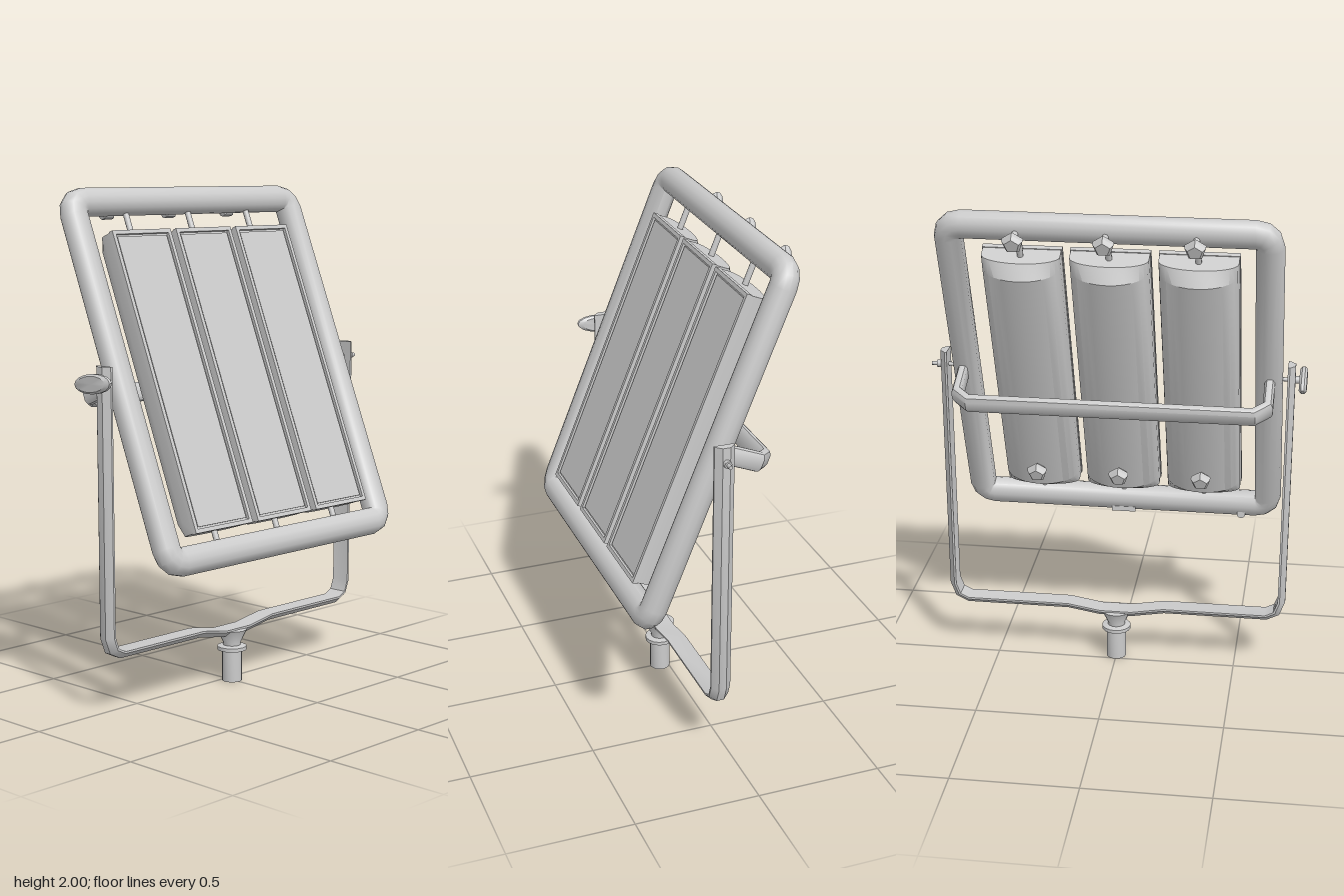
import * as THREE from 'three';
import { toCreasedNormals } from 'three/addons/utils/BufferGeometryUtils.js';

const material = new THREE.MeshStandardMaterial({ color: 0xcccccc, side: THREE.DoubleSide });

function add(parent, name, geometry, x = 0, y = 0, z = 0) {
  const mesh = new THREE.Mesh(geometry, material);
  mesh.name = name;
  mesh.position.set(x, y, z);
  parent.add(mesh);
  return mesh;
}

// Skin over equal-sized rings of [x, y, z]; either closed into a loop or capped
function loft(rings, loop = false, crease = 0.7) {
  const n = rings[0].length, m = rings.length;
  const pos = rings.flat(2), index = [];
  for (let i = 0; i < (loop ? m : m - 1); i++) {
    for (let j = 0; j < n; j++) {
      const a = i * n + j, b = i * n + (j + 1) % n;
      const c = ((i + 1) % m) * n + j, d = ((i + 1) % m) * n + (j + 1) % n;
      index.push(a, b, d, a, d, c);
    }
  }
  if (!loop) {
    const e = (m - 1) * n;
    for (let j = 1; j < n - 1; j++) index.push(0, j + 1, j, e, e + j, e + j + 1);
  }
  // turn the faces outward when the enclosed volume comes out negative
  let volume = 0;
  const p = (k) => new THREE.Vector3().fromArray(pos, index[k] * 3);
  for (let k = 0; k < index.length; k += 3) volume += p(k).dot(p(k + 1).cross(p(k + 2)));
  if (volume < 0) index.reverse();
  const g = new THREE.BufferGeometry();
  g.setAttribute('position', new THREE.Float32BufferAttribute(pos, 3));
  g.setIndex(index);
  return toCreasedNormals(g, crease);
}

// Ring of a section [out, side] at (x, y), offset along the direction (nx, ny)
const ringAt = (x, y, nx, ny, section) => section.map(([a, b]) => [x + nx * a, y + ny * a, b]);

// Mitred sweep along an open polyline in the XY plane
function sweep(path, section) {
  const pts = path.map(([x, y]) => new THREE.Vector2(x, y));
  const normal = (i) => {
    const d = pts[i + 1].clone().sub(pts[i]).normalize();
    return new THREE.Vector2(-d.y, d.x);
  };
  return loft(pts.map((p, i) => {
    const a = normal(Math.max(i - 1, 0)), b = normal(Math.min(i, pts.length - 2));
    const m = a.clone().add(b).normalize();
    m.divideScalar(m.dot(a));
    return ringAt(p.x, p.y, m.x, m.y, section);
  }));
}

const mirrorPath = (half) => [...half, ...half.slice().reverse().map(([x, y]) => [-x, y])];

const rectangle = (Type, w, h) => new Type([[-w, -h], [w, -h], [w, h], [-w, h]].map(([x, y]) => new THREE.Vector2(x, y)));

// Lamp body with a half-barrel back and chamfered ends
function lampBody() {
  return loft([[-0.625, 0.04], [-0.57, 0.095], [0.52, 0.095], [0.572, 0.05]].map(([u, depth]) => {
    const ring = [[0.152, u, 0.05], [-0.152, u, 0.05]];
    for (let k = 0; k <= 14; k++) {
      const t = (k / 14) * Math.PI;
      ring.push([-0.152 * Math.cos(t), u, -depth * Math.sin(t)]);
    }
    return ring;
  }), false, 0.5);
}

// Screw knob pointing backward: stem and five-sided head
function knob(parent, name, x, y, z, r) {
  const g = new THREE.Group();
  g.name = name;
  g.position.set(x, y, z);
  g.rotation.x = -Math.PI / 2;
  add(g, 'knobStem', new THREE.CylinderGeometry(0.013, 0.013, 0.06, 8), 0, 0.01, 0);
  const profile = [[0, 0.03], [r * 0.65, 0.03], [r, 0.045], [r, 0.062], [r * 0.7, 0.078], [0, 0.078]];
  add(g, 'knobHead', toCreasedNormals(
    new THREE.LatheGeometry(profile.map(([a, b]) => new THREE.Vector2(a, b)), 5), 0.3));
  parent.add(g);
}

export function createModel() {
  const model = new THREE.Group();
  model.name = 'studioLamp';

  // Tilting head
  const head = new THREE.Group();
  head.name = 'head';
  head.position.set(0, 1.283, 0.033);
  head.rotation.x = -THREE.MathUtils.degToRad(22);
  model.add(head);

  // Outer frame: sharp inner rectangle, rounded outside
  const frameSection = [[0, -0.02], [0, 0.02], [0.012, 0.037], [0.035, 0.049], [0.06, 0.05], [0.085, 0.042],
    [0.102, 0.023], [0.108, 0], [0.102, -0.023], [0.085, -0.042], [0.06, -0.05], [0.035, -0.049], [0.012, -0.037]];
  const frameRings = [];
  for (let c = 0; c < 4; c++) {
    const mid = (c + 0.5) * Math.PI / 2;
    const x = 0.556 * Math.sign(Math.cos(mid)), y = 0.662 * Math.sign(Math.sin(mid));
    for (let k = 0; k <= 3; k++) {
      const t = (c + k / 3) * Math.PI / 2;
      frameRings.push(ringAt(x, y, Math.cos(t), Math.sin(t), frameSection));
    }
  }
  add(head, 'outerFrame', loft(frameRings, true));

  // Three lamp units with bezel, front pane, mounting rods and knobs
  const bezelShape = rectangle(THREE.Shape, 0.155, 0.602);
  bezelShape.holes.push(rectangle(THREE.Path, 0.139, 0.586));
  const bezel = new THREE.ExtrudeGeometry(bezelShape, { depth: 0.02, bevelEnabled: false });
  for (const x of [-0.34, 0, 0.34]) {
    const lamp = new THREE.Group();
    lamp.name = 'lampUnit';
    lamp.position.x = x;
    head.add(lamp);
    add(lamp, 'lampBody', lampBody());
    add(lamp, 'bezel', bezel, 0, -0.027, 0.042);
    add(lamp, 'frontPane', new THREE.BoxGeometry(0.262, 1.156, 0.012), 0, -0.027, 0.05);
    add(lamp, 'topRod', new THREE.CylinderGeometry(0.012, 0.012, 0.13, 10), 0, 0.62, 0);
    add(lamp, 'bottomRod', new THREE.CylinderGeometry(0.012, 0.012, 0.08, 10), 0, -0.64, 0);
    knob(lamp, 'topKnob', 0, 0.715, -0.05, 0.042);
    knob(lamp, 'rearKnob', 0, -0.47, -0.07, 0.042);
  }

  // Rear grab handle
  const handleSection = [[0, -0.025], [0, 0.025], [0.008, 0.037], [0.02, 0.04], [0.032, 0.035], [0.04, 0.018],
    [0.04, -0.018], [0.032, -0.035], [0.02, -0.04], [0.008, -0.037]];
  const handle = add(head, 'rearHandle',
    sweep(mirrorPath([[-0.595, 0.03], [-0.595, 0.17], [-0.555, 0.205]]), handleSection));
  handle.rotation.x = -Math.PI / 2;

  // Small plate and plug on the back of the lower rail
  add(head, 'lowerPlate', new THREE.BoxGeometry(0.1, 0.035, 0.012), 0, -0.735, -0.044).rotation.x = 0.4;
  add(head, 'lowerPlug', new THREE.CylinderGeometry(0.018, 0.018, 0.02, 12), -0.5, -0.735, -0.044).rotation.x = Math.PI / 2 + 0.4;

  // Yoke: bevelled strip bent into a U
  const yokeSection = [[0, -0.04], [0, 0.04], [0.008, 0.04], [0.03, 0.015], [0.03, -0.015], [0.008, -0.04]];
  add(model, 'yoke', sweep(mirrorPath([[0.683, 1.345], [0.677, 0.31], [0.66, 0.265], [0.625, 0.248],
    [0.2, 0.248], [0.065, 0.225]]), yokeSection), 0, 0, 0.035);

  // Tilt axles and wing knob
  for (const side of [-1, 1]) {
    add(model, 'tiltAxle', new THREE.CylinderGeometry(0.008, 0.008, 0.11, 10), side * 0.697, 1.283, 0.035).rotation.z = Math.PI / 2;
    add(model, 'axleNut', new THREE.CylinderGeometry(0.015, 0.015, 0.02, 10), side * 0.72, 1.283, 0.035).rotation.z = Math.PI / 2;
  }
  const wing = [[0, -0.015], [0.8, -0.015], [1, -0.006], [1, 0.006], [0.8, 0.015], [0, 0.015]];
  const wingKnob = add(model, 'wingKnob', toCreasedNormals(
    new THREE.LatheGeometry(wing.map(([a, b]) => new THREE.Vector2(a, b)), 16)
      .scale(0.038, 1, 0.098).rotateZ(Math.PI / 2), 0.6), -0.744, 1.283, 0.035);
  wingKnob.rotation.x = -0.1;

  // Spigot with collar and flared socket
  const spigot = [[0, 0], [0.041, 0], [0.041, 0.13], [0.06, 0.13], [0.06, 0.145], [0.036, 0.15], [0.036, 0.16], [0.062, 0.215], [0, 0.225]];
  add(model, 'spigot', toCreasedNormals(
    new THREE.LatheGeometry(spigot.map(([a, b]) => new THREE.Vector2(a, b)), 16), 0.6), 0, 0, 0.035);

  return model;
}
